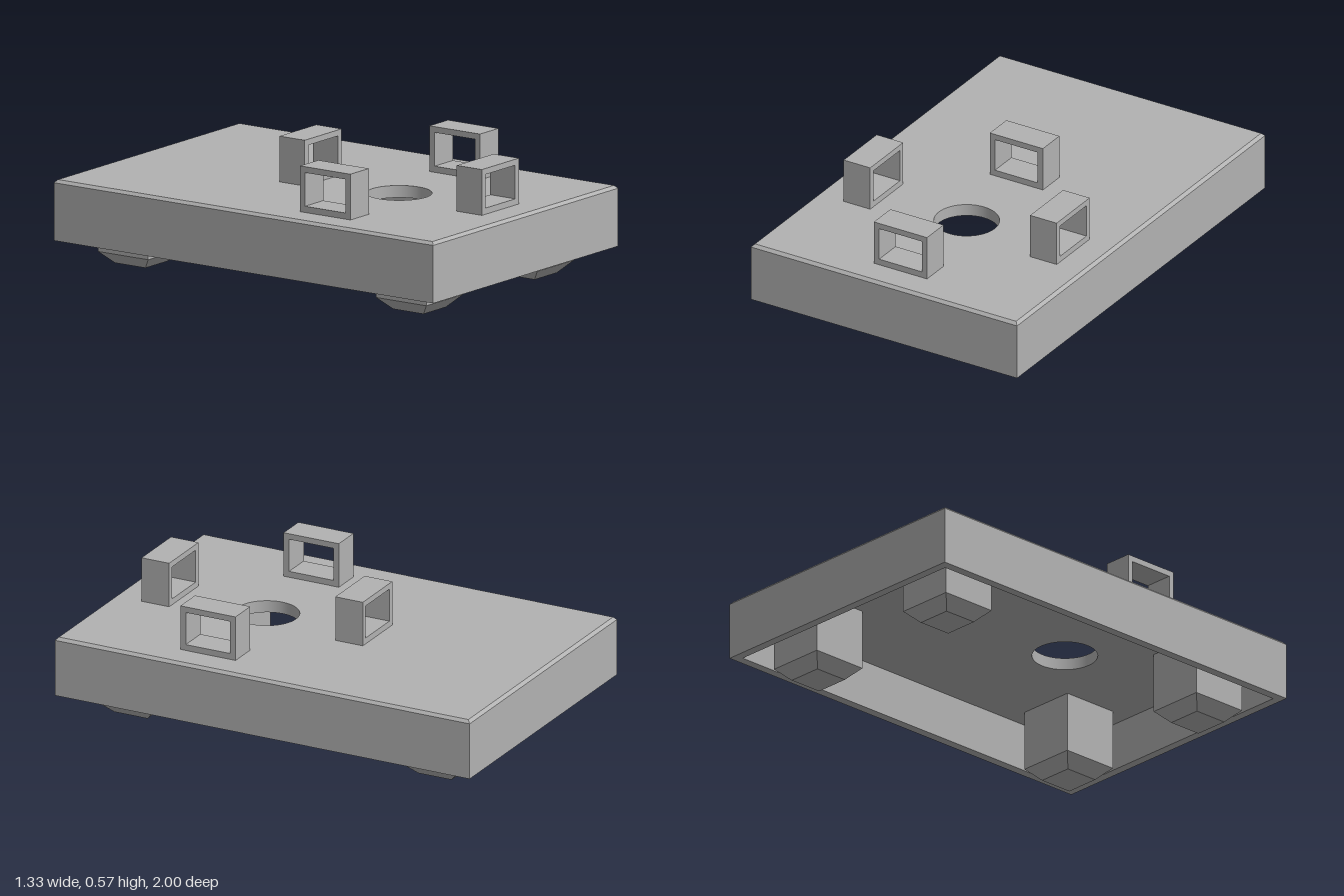
import * as THREE from 'three';

const grey = new THREE.MeshStandardMaterial({ color: 0xb2b2b2 });
grey.name = 'plain grey';

const HX = 0.667, HZ = 1;            // half width and half depth of the base
const BOTTOM = 0.107, CEILING = 0.32, EDGE = 0.36, TOP = 0.373;
const WALL = 0.04, CHAMFER = 0.013;
const HOLE_Z = 0.333, HOLE_R = 0.14;

// Flat-faced skin through rectangles given as [inset, y]
function rectLoft(hx, hz, profile) {
  const corner = ([inset, y], k) => {
    const sx = k % 4 < 2 ? 1 : -1, sz = k % 4 === 0 || k % 4 === 3 ? 1 : -1;
    return [sx * (hx - inset), y, sz * (hz - inset)];
  };
  const pos = [];
  for (let i = 0; i < profile.length - 1; i++) {
    for (let k = 0; k < 4; k++) {
      const a = corner(profile[i], k), b = corner(profile[i], k + 1);
      const c = corner(profile[i + 1], k + 1), d = corner(profile[i + 1], k);
      pos.push(...a, ...b, ...c, ...a, ...c, ...d);
    }
  }
  const g = new THREE.BufferGeometry();
  g.setAttribute('position', new THREE.Float32BufferAttribute(pos, 3));
  g.computeVertexNormals();
  return g;
}

function rectangle(Type, x0, y0, x1, y1) {
  return new Type([[x0, y0], [x1, y0], [x1, y1], [x0, y1]].map(([x, y]) => new THREE.Vector2(x, y)));
}

// Horizontal plate face with the round hole, facing up (1) or down (-1)
function plateFace(inset, y, facing) {
  const shape = rectangle(THREE.Shape, -HX + inset, -HZ + inset, HX - inset, HZ - inset);
  const hole = new THREE.Path();
  hole.absarc(0, -facing * HOLE_Z, HOLE_R, 0, Math.PI * 2, true);
  shape.holes.push(hole);
  return new THREE.ShapeGeometry(shape, 32).rotateX(-facing * Math.PI / 2).translate(0, y, 0);
}

export function createModel() {
  const model = new THREE.Group();
  model.name = 'base with loops';
  const add = (name, geometry) => {
    const mesh = new THREE.Mesh(geometry, grey);
    mesh.name = name;
    model.add(mesh);
    return mesh;
  };

  // Hollow base, open below, with a small chamfer around the top
  add('baseWalls', rectLoft(HX, HZ, [
    [WALL, CEILING], [WALL, BOTTOM], [0, BOTTOM], [0, EDGE], [CHAMFER, TOP],
  ]));
  add('topFace', plateFace(CHAMFER, TOP, 1));
  add('ceiling', plateFace(WALL, CEILING, -1));
  const liner = [new THREE.Vector2(HOLE_R, TOP), new THREE.Vector2(HOLE_R, CEILING)];
  add('holeWall', new THREE.LatheGeometry(liner, 64).translate(0, 0, HOLE_Z));

  // Four tapered feet reaching up to the ceiling
  const footHalf = 0.133;
  const foot = rectLoft(footHalf, footHalf, [[footHalf, 0], [0.053, 0], [0, 0.053], [0, CEILING]]);
  for (const x of [-0.4, 0.4]) {
    for (const z of [-0.733, 0.733]) add('foot', foot).position.set(x, 0, z);
  }

  // Four square loops around the hole
  const frame = rectangle(THREE.Shape, -0.133, TOP, 0.133, 0.573);
  frame.holes.push(rectangle(THREE.Path, -0.107, 0.4, 0.107, 0.547));
  const loop = new THREE.ExtrudeGeometry(frame, { depth: 0.133, bevelEnabled: false }).translate(0, 0, -0.0665);
  for (let i = 0; i < 4; i++) {
    const a = i * Math.PI / 2;
    const mesh = add('loop', loop);
    mesh.position.set(Math.sin(a) * 0.467, 0, HOLE_Z + Math.cos(a) * 0.467);
    mesh.rotation.y = a;
  }
  return model;
}
